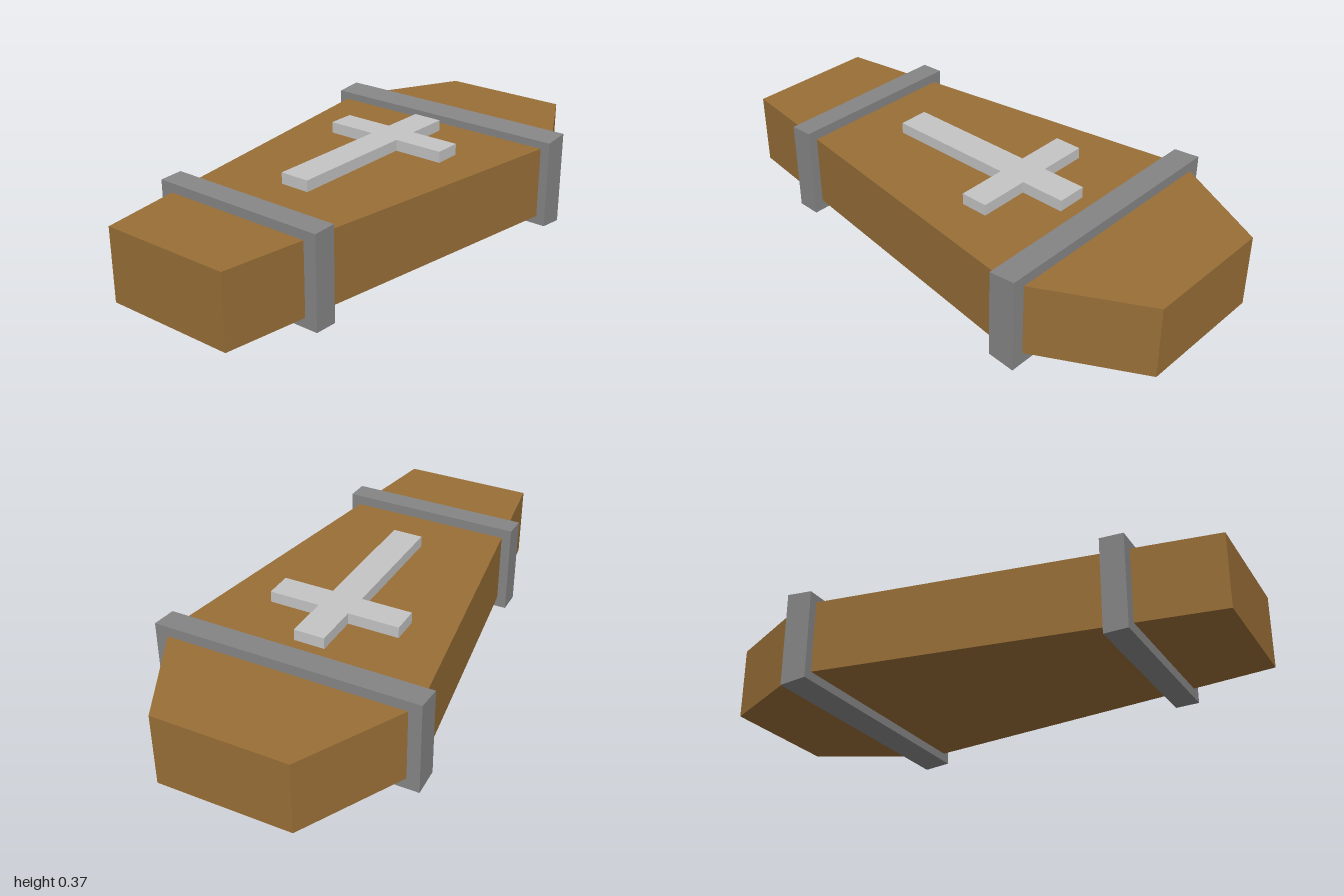
import * as THREE from 'three';

const wood = new THREE.MeshStandardMaterial({ name: 'brown wood', color: 0x986e37 });
const iron = new THREE.MeshStandardMaterial({ name: 'grey iron', color: 0x868686 });
const silver = new THREE.MeshStandardMaterial({ name: 'pale silver', color: 0xc4c4c4 });

// Extrudes a symmetric outline upward; points are [x, z] along the +x half
function slab(name, half, y0, y1, material) {
  const mirrored = half.map(([x, z]) => [-x, z]).reverse();
  const outline = [...half, ...mirrored].map(([x, z]) => new THREE.Vector2(x, -z));
  const geometry = new THREE.ExtrudeGeometry(new THREE.Shape(outline), { depth: y1 - y0, bevelEnabled: false });
  geometry.rotateX(-Math.PI / 2).translate(0, y0, 0);
  const mesh = new THREE.Mesh(geometry, material);
  mesh.name = name;
  return mesh;
}

// Strap around the body, slightly lower at its front edge
function band(name, halfWidth, zBack, zFront, back, front) {
  const profile = new THREE.Shape([
    new THREE.Vector2(-zBack, back[0]),
    new THREE.Vector2(-zBack, back[1]),
    new THREE.Vector2(-zFront, front[1]),
    new THREE.Vector2(-zFront, front[0]),
  ]);
  const geometry = new THREE.ExtrudeGeometry(profile, { depth: halfWidth * 2, bevelEnabled: false });
  geometry.translate(0, 0, -halfWidth).rotateY(Math.PI / 2);
  const mesh = new THREE.Mesh(geometry, iron);
  mesh.name = name;
  return mesh;
}

export function createModel() {
  const model = new THREE.Group();
  model.name = 'coffin';

  // Six-sided wooden box, widest at the shoulders
  model.add(slab('body', [[0.26, 1], [0.49, -0.56], [0.26, -1]], 0.045, 0.328, wood));

  // Metal straps at shoulders and feet
  model.add(band('shoulderBand', 0.517, -0.603, -0.498, [0, 0.368], [0.011, 0.358]));
  model.add(band('footBand', 0.358, 0.588, 0.679, [0.003, 0.367], [0.006, 0.364]));

  // Cross on the lid
  model.add(slab('cross', [
    [0.06, 0.38], [0.06, -0.135], [0.26, -0.135],
    [0.26, -0.243], [0.06, -0.243], [0.06, -0.42],
  ], 0.32, 0.372, silver));

  return model;
}
